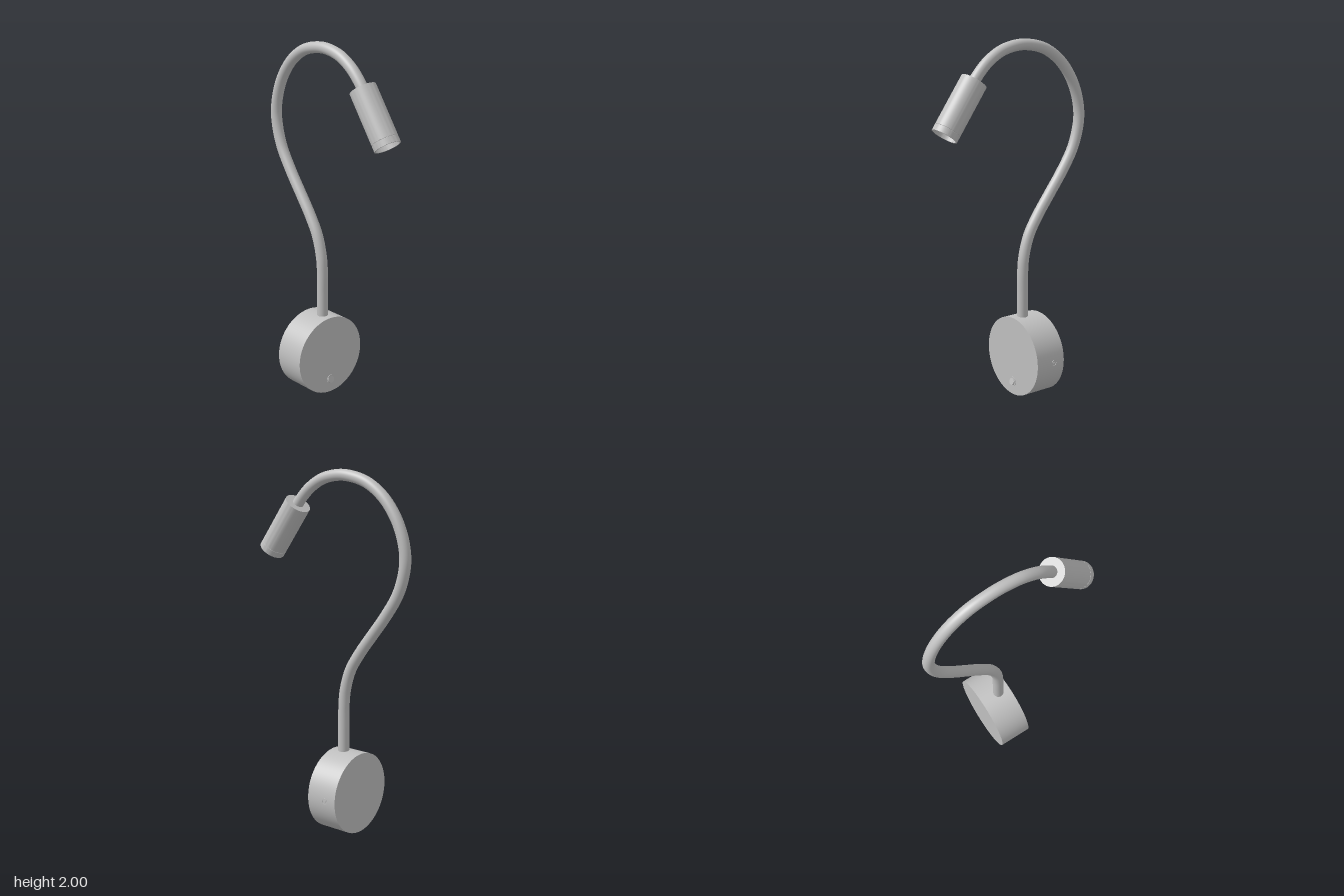
import * as THREE from 'three';
import { toCreasedNormals } from 'three/addons/utils/BufferGeometryUtils.js';

const V3 = (x, y, z) => new THREE.Vector3(x, y, z);

export function createModel() {
  const group = new THREE.Group();
  const metal = new THREE.MeshStandardMaterial({ color: 0xc0c0c0 });
  metal.name = 'satin grey';

  function add(name, geometry, parent = group) {
    const mesh = new THREE.Mesh(geometry, metal);
    mesh.name = name;
    parent.add(mesh);
    return mesh;
  }
  // Turned part around y, keeping hard edges sharp
  const turned = (profile, segments) => toCreasedNormals(
    new THREE.LatheGeometry(profile.map(([r, y]) => new THREE.Vector2(r, y)), segments), 0.5);

  // Round wall base, its flat faces towards front and back
  const base = add('wallBase', new THREE.CylinderGeometry(0.227, 0.227, 0.186, 96));
  base.rotation.x = Math.PI / 2;
  base.position.set(0, 0.227, -0.093);

  // Gooseneck: [z, y] along the centre line, running into base and head
  const path = [
    [-0.069, 0.42], [-0.069, 0.58], [-0.07, 0.705], [-0.079, 0.80], [-0.114, 0.918],
    [-0.178, 1.024], [-0.257, 1.13], [-0.345, 1.247], [-0.421, 1.369], [-0.457, 1.475],
    [-0.467, 1.565], [-0.448, 1.671], [-0.4, 1.777], [-0.321, 1.873], [-0.215, 1.941],
    [-0.098, 1.968], [-0.019, 1.967], [0.077, 1.943], [0.16, 1.894], [0.21, 1.848],
    [0.252, 1.798], [0.281, 1.757],
  ].map(([z, y]) => V3(0, y, z));
  add('gooseneck', new THREE.TubeGeometry(new THREE.CatmullRomCurve3(path), 160, 0.031, 32));

  // Lamp head: turned barrel with a seam and a recessed lens, open end at its origin
  const tip = V3(0, 1.528, 0.443);
  const top = V3(0, 1.798, 0.252);
  const axis = top.clone().sub(tip);
  const length = axis.length();
  const head = add('lampHead', turned([
    [0, 0.034], [0.066, 0.034], [0.066, 0], [0.073, 0],
    [0.073, 0.034], [0.0715, 0.035], [0.0715, 0.036], [0.073, 0.037],
    [0.073, length], [0, length],
  ], 64));
  head.position.copy(tip);
  head.quaternion.setFromUnitVectors(V3(0, 1, 0), axis.normalize());

  // Rocker switch: thin collar with a button tilted out at its lower edge
  const rocker = new THREE.Group();
  rocker.name = 'rockerSwitch';
  rocker.position.set(0, 0.075, 0);
  group.add(rocker);
  const collar = add('switchCollar', turned(
    [[0.02, 0], [0.028, 0], [0.028, 0.003], [0.02, 0.003], [0.02, 0]], 32), rocker);
  collar.rotation.x = Math.PI / 2;
  const button = add('switchButton', new THREE.CylinderGeometry(0.02, 0.02, 0.014, 32), rocker);
  button.rotation.x = Math.PI / 2 - 0.24;
  button.position.z = 0.001;

  // Charging socket on the left side: rim and centre pin
  const socket = new THREE.Group();
  socket.name = 'chargingSocket';
  socket.position.set(0.225, 0.228, -0.117);
  socket.rotation.z = -Math.PI / 2;
  group.add(socket);
  add('socketRim', turned(
    [[0.013, 0], [0.018, 0], [0.018, 0.004], [0.013, 0.004], [0.013, 0]], 24), socket);
  add('socketPin', new THREE.CylinderGeometry(0.005, 0.005, 0.008, 16), socket);

  return group;
}
